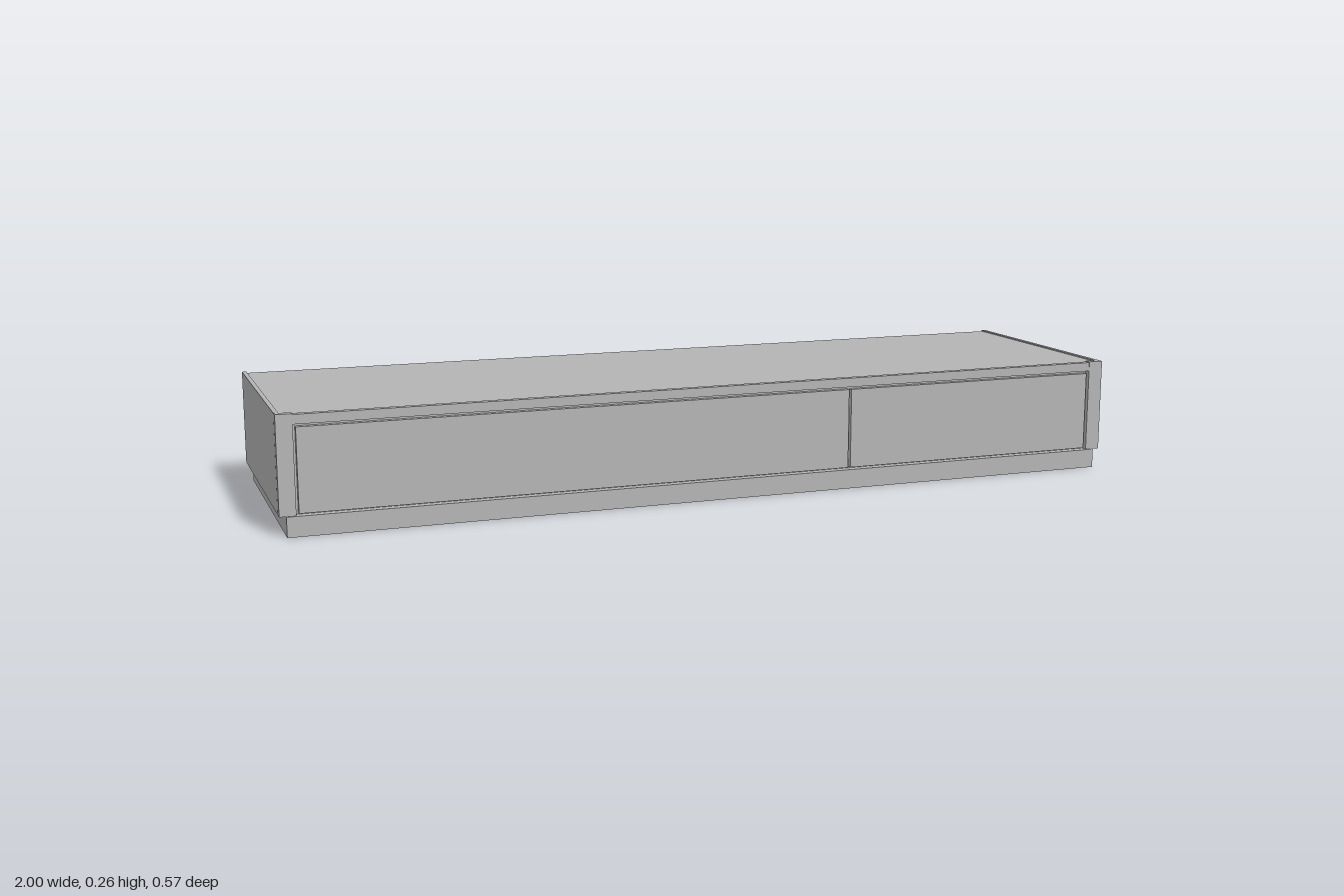
import * as THREE from 'three';

export function createModel() {
  const group = new THREE.Group();
  const grey = new THREE.MeshStandardMaterial({ color: 0xb4b4b4 });
  grey.name = 'painted grey';

  // Box given by its min and max on each axis
  function box(name, [x0, x1], [y0, y1], [z0, z1]) {
    const mesh = new THREE.Mesh(new THREE.BoxGeometry(x1 - x0, y1 - y0, z1 - z0), grey);
    mesh.position.set((x0 + x1) / 2, (y0 + y1) / 2, (z0 + z1) / 2);
    mesh.name = name;
    group.add(mesh);
  }

  // Hollow plinth: a rectangular ring standing on the floor
  const ring = new THREE.Shape();
  ring.moveTo(-0.985, -0.285).lineTo(0.985, -0.285).lineTo(0.985, 0.285).lineTo(-0.985, 0.285).closePath();
  const hole = new THREE.Path();
  hole.moveTo(-0.96, -0.26).lineTo(-0.96, 0.26).lineTo(0.96, 0.26).lineTo(0.96, -0.26).closePath();
  ring.holes.push(hole);
  const plinthGeometry = new THREE.ExtrudeGeometry(ring, { depth: 0.045, bevelEnabled: false });
  plinthGeometry.rotateX(-Math.PI / 2);
  const plinth = new THREE.Mesh(plinthGeometry, grey);
  plinth.name = 'plinth';
  group.add(plinth);

  // Carcass between the side panels
  box('carcass', [-0.99, 0.99], [0.045, 0.262], [-0.283, 0.266]);

  // Side panels and front posts, with a shadow gap between them
  for (const s of [-1, 1]) {
    const span = (a, b) => [Math.min(s * a, s * b), Math.max(s * a, s * b)];
    const side = s > 0 ? 'left' : 'right';
    box(side + 'SidePanel', span(0.99, 1), [0.046, 0.265], [-0.285, 0.266]);
    box(side + 'FrontPost', span(0.964, 1), [0.046, 0.265], [0.268, 0.285]);
  }
  box('frontGapFiller', [-0.99, 0.99], [0.046, 0.262], [0.266, 0.27]);

  // Top rail and drawer fronts, separated by narrow gaps
  box('topRail', [-0.964, 0.964], [0.242, 0.263], [0.268, 0.284]);
  box('wideDrawerFront', [-0.958, 0.316], [0.05, 0.236], [0.268, 0.283]);
  box('narrowDrawerFront', [0.322, 0.958], [0.05, 0.236], [0.268, 0.283]);

  return group;
}
